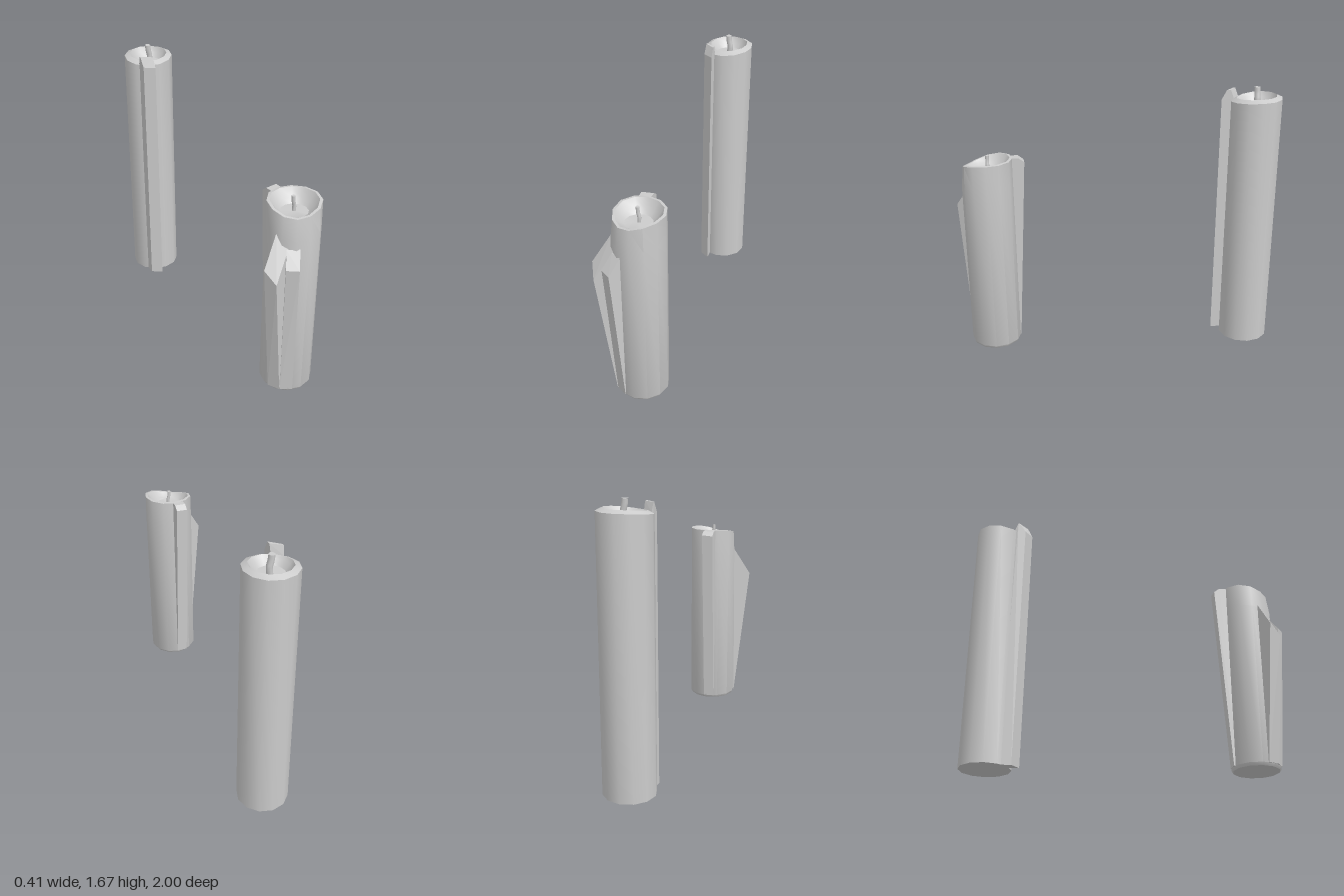
import * as THREE from 'three';
import { toCreasedNormals } from 'three/addons/utils/BufferGeometryUtils.js';
import { ConvexGeometry } from 'three/addons/geometries/ConvexGeometry.js';

const wax = new THREE.MeshStandardMaterial({ color: 0xcccccc });

function add(parent, name, geometry) {
  const mesh = new THREE.Mesh(geometry, wax);
  mesh.name = name;
  parent.add(mesh);
}

// Twelve-sided candle turned from [radius, y] points; a third and fourth number
// shift radius and y on the melted side, which faces front-left.
function candleBody(profile, sharpness) {
  const g = new THREE.LatheGeometry(profile.map(([r, y]) => new THREE.Vector2(r, y)), 12);
  const p = g.attributes.position;
  const meltAngle = Math.atan2(-0.6, 1);
  for (let i = 0; i < p.count; i++) {
    const [r, , dr = 0, dy = 0] = profile[i % profile.length];
    const angle = Math.floor(i / profile.length) * Math.PI / 6;
    const melt = Math.pow(0.5 + 0.5 * Math.cos(angle - meltAngle), sharpness);
    const radius = r + dr * melt;
    p.setX(i, Math.sin(angle) * radius);
    p.setZ(i, Math.cos(angle) * radius);
    p.setY(i, p.getY(i) + dy * melt);
  }
  return toCreasedNormals(g, 0.6);
}

// Curved wick with a closed tip
function wick(group, points, radius) {
  const path = new THREE.CatmullRomCurve3(points.map(q => new THREE.Vector3(...q)));
  add(group, 'wick', new THREE.TubeGeometry(path, 6, radius, 8));
  const tip = new THREE.CircleGeometry(radius, 8);
  tip.rotateX(-Math.PI / 2);
  tip.translate(...points[points.length - 1]);
  add(group, 'wickTip', tip);
}

// Solid, faceted wax run spanned by its corner points
function drip(group, name, corners) {
  add(group, name, new ConvexGeometry(corners.map(c => new THREE.Vector3(...c))));
}

export function createModel() {
  const model = new THREE.Group();

  // Tall candle at the back
  const tall = new THREE.Group();
  tall.name = 'tallCandle';
  tall.position.set(0.045, 0, -0.843);
  add(tall, 'tallBody', candleBody([
    [0, 0], [0.157, 0], [0.157, 1.61, 0, -0.027], [0.122, 1.625, 0, -0.022],
    [0.105, 1.59], [0.08, 1.56], [0, 1.56],
  ], 2));
  wick(tall, [[0.005, 1.55, 0], [0.01, 1.6, 0], [0.002, 1.635, 0], [-0.002, 1.672, 0]], 0.019);
  model.add(tall);

  // Short candle at the front, with a chamfered foot and a sagging rim
  const short = new THREE.Group();
  short.name = 'shortCandle';
  short.position.set(0.045, 0, 0.797);
  add(short, 'shortBody', candleBody([
    [0, 0.042], [0.145, 0.042], [0.157, 0.06], [0.157, 1.12, 0, -0.03],
    [0.157, 1.274, -0.018, -0.052], [0.14, 1.276, -0.016, -0.052],
    [0.105, 1.225, 0, -0.015], [0.08, 1.2], [0, 1.2],
  ], 3));
  wick(short, [[0, 1.19, -0.005], [0.002, 1.23, -0.005], [-0.005, 1.26, -0.005], [-0.006, 1.293, -0.005]], 0.011);
  model.add(short);

  // Straight run down the full height of the tall candle
  drip(model, 'tallDrip', [
    [-0.075, 0, -0.685], [-0.012, 0, -0.64], [-0.075, 1.585, -0.685], [-0.012, 1.585, -0.64],
    [-0.075, 1.643, -0.725], [-0.012, 1.643, -0.67], [-0.075, 1.643, -0.735], [-0.012, 1.643, -0.695],
    [-0.07, 1.59, -0.755], [-0.012, 1.59, -0.715], [-0.07, 0, -0.76], [-0.012, 0, -0.72],
  ]);

  // Runs on the short candle, tapering into its foot
  drip(model, 'backDrip', [
    [-0.012, 1.245, 0.575], [0.06, 1.25, 0.57], [-0.012, 1.272, 0.61], [0.06, 1.275, 0.605],
    [-0.01, 1.272, 0.665], [0.06, 1.275, 0.655],
    [-0.01, 0.06, 0.645], [0.06, 0.06, 0.64], [-0.01, 0.06, 0.68], [0.06, 0.06, 0.68],
  ]);
  drip(model, 'leftDrip', [
    [-0.205, 0.94, 0.88], [-0.17, 0.87, 0.95], [-0.1, 1.12, 0.835], [-0.06, 1.05, 0.9],
    [-0.112, 0.06, 0.835], [-0.078, 0.06, 0.905], [-0.05, 0.06, 0.83], [-0.04, 1.06, 0.84],
  ]);
  drip(model, 'frontDrip', [
    [-0.115, 0.95, 0.955], [-0.055, 0.95, 1], [-0.075, 1.04, 0.9], [-0.012, 1.045, 0.94],
    [-0.075, 0.06, 0.905], [-0.012, 0.06, 0.945], [-0.04, 0.06, 0.87], [0, 0.06, 0.9],
    [-0.04, 1.04, 0.87], [0, 1.04, 0.9],
  ]);
  return model;
}
